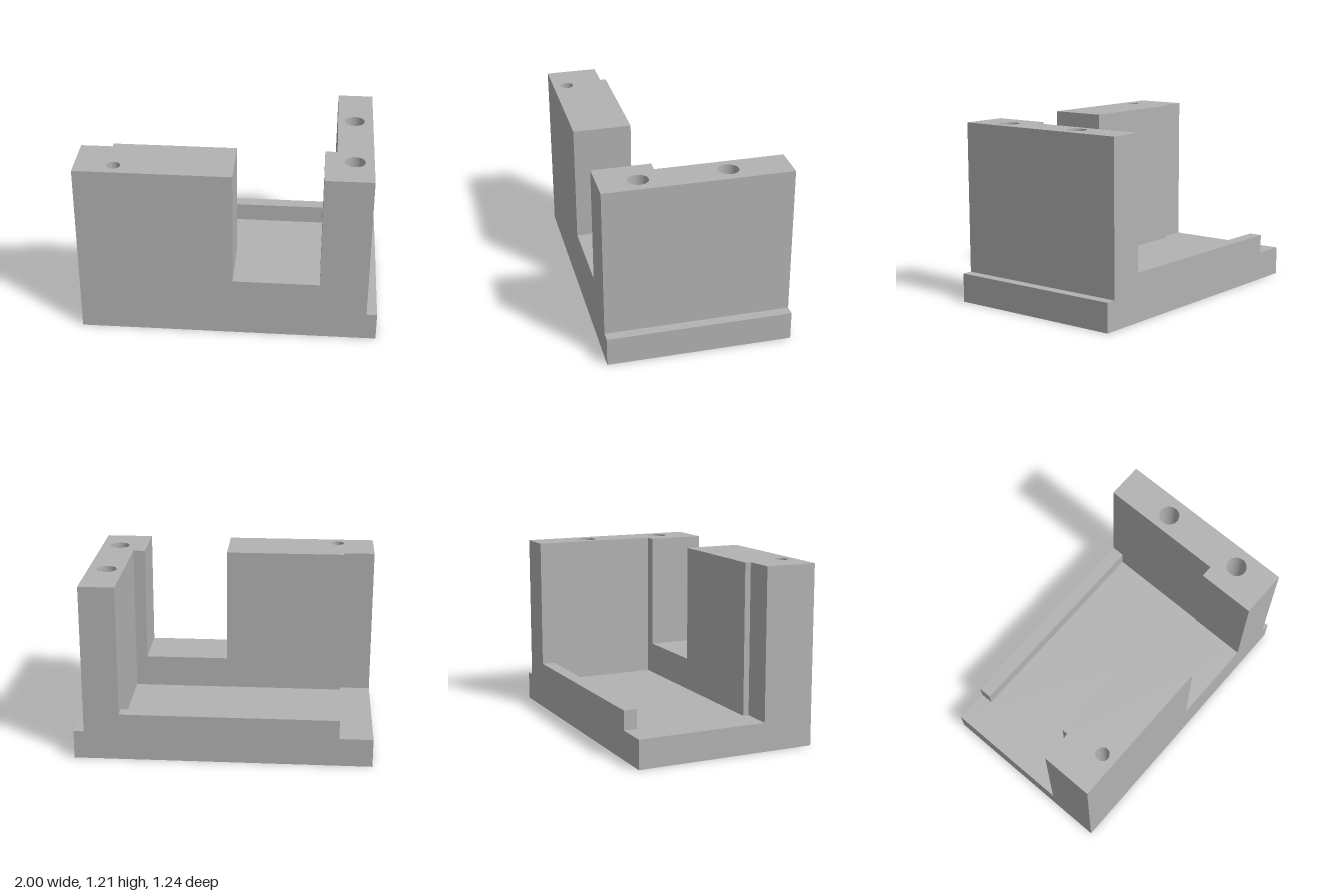
import * as THREE from 'three';
import { toCreasedNormals } from 'three/addons/utils/BufferGeometryUtils.js';

const grey = new THREE.MeshStandardMaterial({ color: 0xb2b2b2 });
grey.name = 'machined grey';

// Heights of the main levels
const FLOOR = 0.195, SILL = 0.415, TOP = 1.21;

// Horizontal slab from an [x, z] outline, with round holes [x, z, radius]
function slab(name, outline, y0, y1, holes = []) {
  const shape = new THREE.Shape(outline.map(([x, z]) => new THREE.Vector2(x, -z)));
  for (const [x, z, r] of holes) {
    const hole = new THREE.Path();
    hole.absarc(x, -z, r, 0, Math.PI * 2, true);
    shape.holes.push(hole);
  }
  const geometry = new THREE.ExtrudeGeometry(shape, { depth: y1 - y0, bevelEnabled: false, curveSegments: 32 });
  geometry.rotateX(-Math.PI / 2).translate(0, y0, 0);
  const mesh = new THREE.Mesh(toCreasedNormals(geometry, 0.5), grey);
  mesh.name = name;
  return mesh;
}

const rect = (x0, x1, z0, z1) => [[x0, z0], [x0, z1], [x1, z1], [x1, z0]];

// Solid block whose holes open at the top and stop at holeBottom
function drilledWall(name, outline, y0, holeBottom, holes) {
  const wall = new THREE.Group();
  wall.name = name;
  wall.add(
    slab(name + 'Solid', outline, y0, holeBottom),
    slab(name + 'Drilled', outline, holeBottom, TOP, holes)
  );
  return wall;
}

export function createModel() {
  const model = new THREE.Group();
  model.name = 'mountingBracket';

  // Base plate with four blind holes underneath
  const plate = rect(-1, 1, -0.62, 0.62);
  const boltHoles = [];
  for (const x of [-0.485, 0.805]) for (const z of [0.04, 0.432]) boltHoles.push([x, z, 0.064]);
  model.add(
    slab('basePlateUnderside', plate, 0, 0.13, boltHoles),
    slab('basePlateFloor', plate, 0.13, FLOOR)
  );

  // Low lip along the back edge
  model.add(slab('rearLip', rect(-0.775, 0.69, -0.62, -0.53), FLOOR, 0.325));

  // Lower L-shaped wall, up to the sill of the front opening
  model.add(slab('lowerWall', [
    [-1, 0.27], [-1, 0.62], [0.93, 0.62], [0.93, -0.62],
    [0.69, -0.62], [0.69, 0.23], [-0.79, 0.23], [-0.79, 0.27],
  ], FLOOR, SILL));

  // Front wall beside the opening, stepped back at its outer end
  model.add(drilledWall('frontWall', [
    [-1, 0.27], [-1, 0.62], [0.03, 0.62], [0.03, 0.23], [-0.79, 0.23], [-0.79, 0.27],
  ], SILL, 0.8, [[-0.745, 0.525, 0.045]]));

  // Side wall with a short return at the front
  model.add(drilledWall('sideWall', [
    [0.61, 0.23], [0.61, 0.62], [0.93, 0.62], [0.93, -0.62], [0.69, -0.62], [0.69, 0.23],
  ], SILL, 0.7, [[0.805, -0.22, 0.067], [0.805, 0.36, 0.067]]));

  return model;
}
